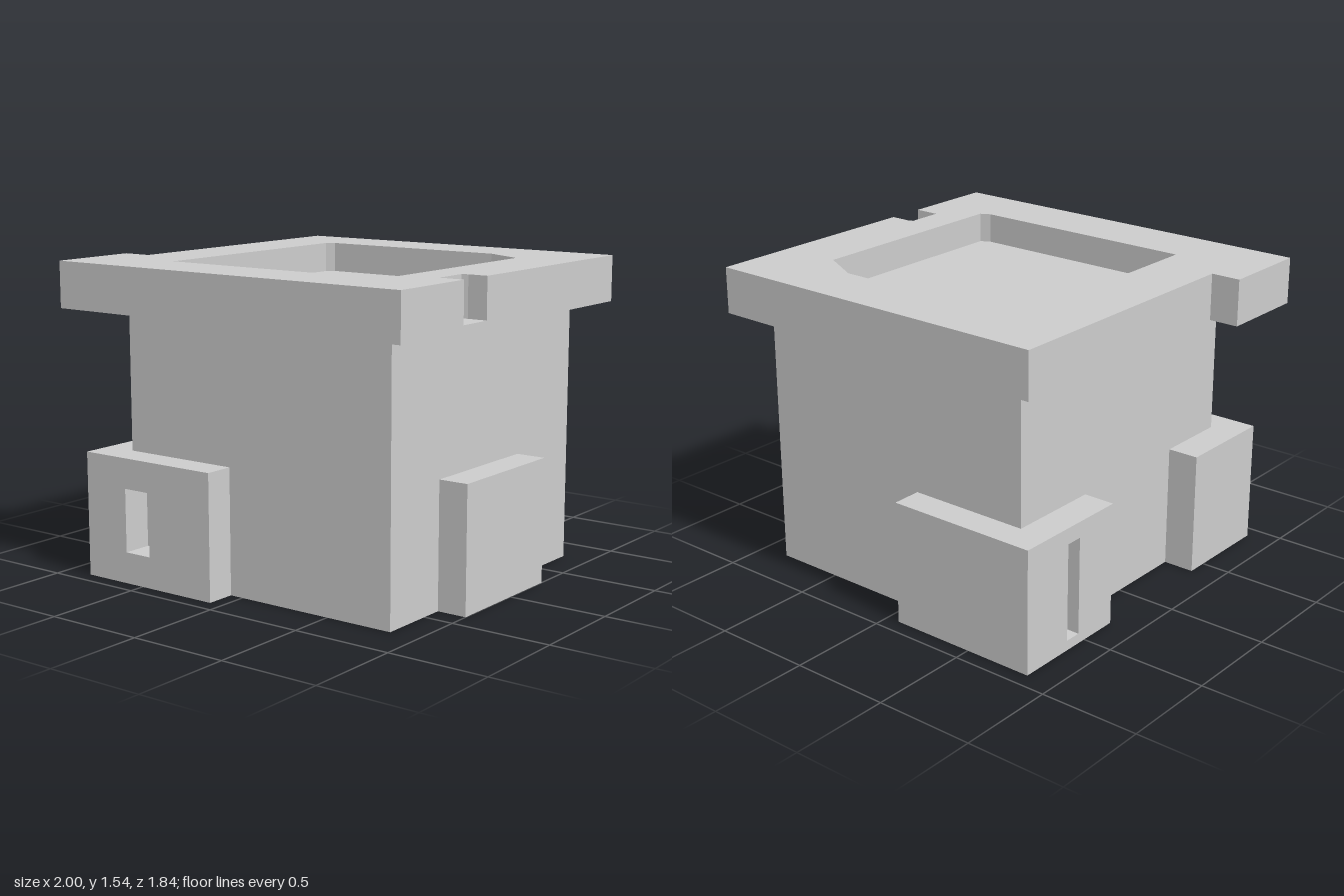
import * as THREE from 'three';

const material = new THREE.MeshStandardMaterial({ color: 0xcccccc, flatShading: true });
const toPoints = (pts) => pts.map(([x, y]) => new THREE.Vector2(x, y));
const rect = (x0, x1, y0, y1) => [[x0, y0], [x1, y0], [x1, y1], [x0, y1]];

// Axis-aligned box given by its limits
function block(name, x0, x1, y0, y1, z0, z1) {
  const mesh = new THREE.Mesh(new THREE.BoxGeometry(x1 - x0, y1 - y0, z1 - z0), material);
  mesh.position.set((x0 + x1) / 2, (y0 + y1) / 2, (z0 + z1) / 2);
  mesh.name = name;
  return mesh;
}

// Straight extrusion of an outline with an optional hole
function prism(name, outline, depth, hole) {
  const shape = new THREE.Shape(toPoints(outline));
  if (hole) shape.holes.push(new THREE.Path(toPoints(hole)));
  const mesh = new THREE.Mesh(
    new THREE.ExtrudeGeometry(shape, { depth, bevelEnabled: false }), material);
  mesh.name = name;
  return mesh;
}

// Horizontal layer: outline in (x, z), between two heights
function layer(name, outline, y0, y1, hole) {
  const mesh = prism(name, outline, y1 - y0, hole);
  mesh.rotation.x = Math.PI / 2;
  mesh.position.y = y1;
  return mesh;
}

export function createModel() {
  const model = new THREE.Group();

  // Main body
  model.add(block('body', -0.69, 0.85, 0, 1.31, -0.77, 0.77));

  // Top slab: stepped outline, edge notch and sunken tray
  const slab = new THREE.Group();
  slab.name = 'topSlab';
  const left = [[-1, 0.92], [-1, 0.46], [-0.85, 0.46], [-0.85, -0.92], [1, -0.92]];
  const plain = [...left, [1, 0.92]];
  const notched = [...left, [1, 0.25], [0.9, 0.25], [0.87, 0.26], [0.87, 0.44], [1, 0.44], [1, 0.92]];
  const tray = [[-0.54, 0.615], [-0.54, -0.59], [-0.5, -0.62], [0.48, -0.62],
    [0.69, -0.51], [0.69, 0.59], [0.64, 0.615]];
  slab.add(
    layer('slabBase', plain, 1.31, 1.34),
    layer('trayFloor', notched, 1.34, 1.39),
    layer('trayRim', notched, 1.39, 1.54, tray));
  model.add(slab);

  // Front corner block with a slot in its front panel
  const frontCorner = new THREE.Group();
  frontCorner.name = 'frontCornerBlock';
  const frontPanel = prism('frontSlottedPanel', rect(-0.85, -0.07, 0, 0.62), 0.15,
    rect(-0.6, -0.45, 0.155, 0.47));
  frontPanel.position.z = 0.77;
  frontCorner.add(frontPanel, block('frontCornerReturn', -0.85, -0.69, 0, 0.62, 0.395, 0.77));
  model.add(frontCorner);

  // Back corner block with a narrow slot in its side panel
  const backCorner = new THREE.Group();
  backCorner.name = 'backCornerBlock';
  const sidePanel = prism('sideSlottedPanel', rect(-0.92, -0.295, 0, 0.62), 0.16,
    rect(-0.63, -0.545, 0.05, 0.54));
  sidePanel.rotation.y = -Math.PI / 2;
  sidePanel.position.x = -0.69;
  backCorner.add(sidePanel, block('backCornerReturn', -0.69, -0.07, 0, 0.62, -0.92, -0.77));
  model.add(backCorner);

  // Plain block on the other side
  model.add(block('sideBlock', 0.85, 1, 0, 0.62, -0.29, 0.39));

  return model;
}
